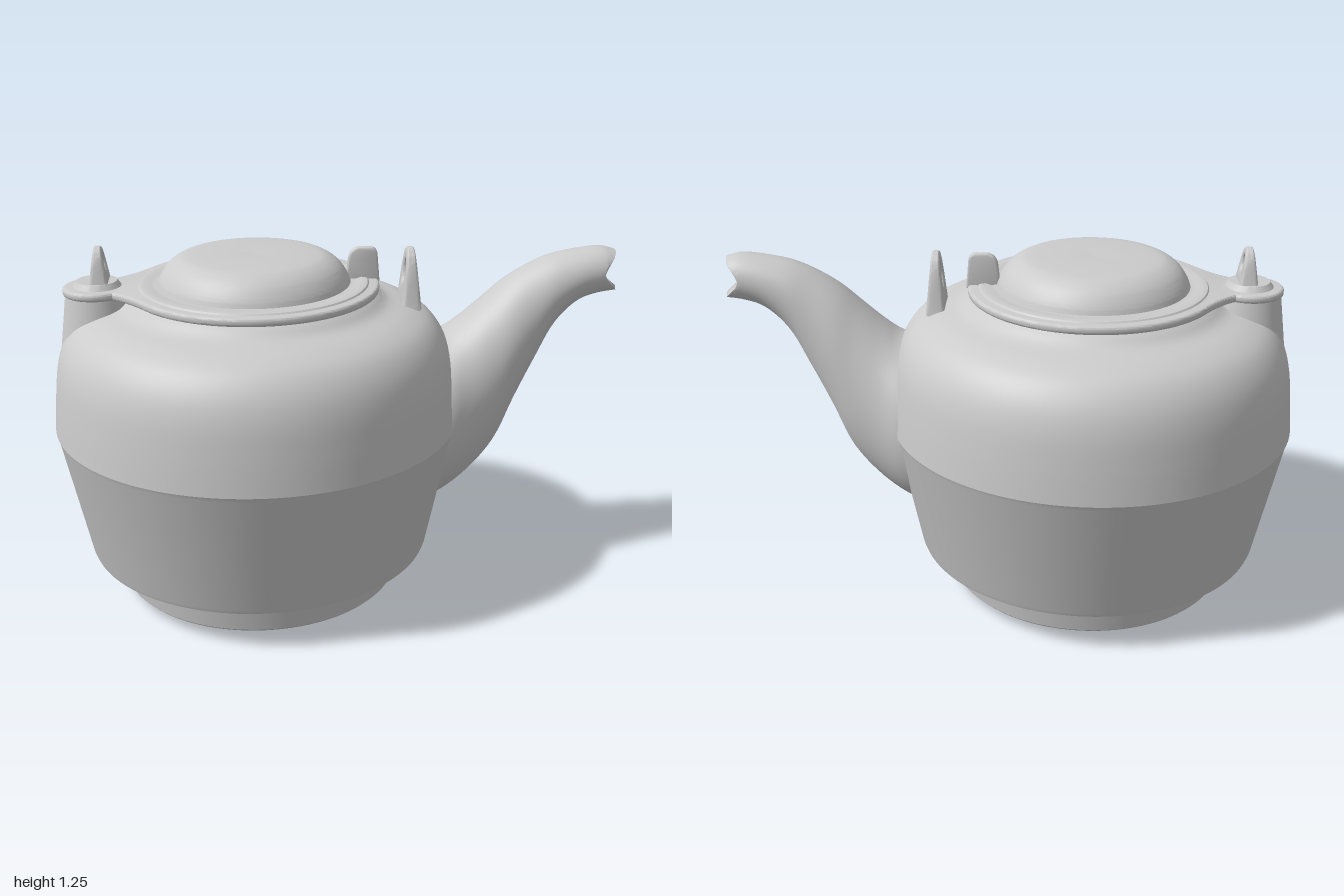
import * as THREE from 'three';
import { toCreasedNormals } from 'three/addons/utils/BufferGeometryUtils.js';

const AXIS = -0.285; // x of the pot's own axis
const material = new THREE.MeshStandardMaterial({ color: 0xcccccc });

function add(group, name, geometry, crease = 0.6) {
  const mesh = new THREE.Mesh(toCreasedNormals(geometry, crease), material);
  mesh.name = name;
  group.add(mesh);
  return mesh;
}

const points = (list) => list.map(([x, y]) => new THREE.Vector2(x, y));

// Flared spout lofted from [topX, topY, bottomX, bottomY, halfWidth] sections
function spoutGeometry() {
  const sections = [
    [0.24, 0.90, 0.24, 0.26, 0.27], [0.38, 0.92, 0.36, 0.30, 0.25],
    [0.44, 0.96, 0.47, 0.375, 0.21], [0.52, 1.03, 0.57, 0.49, 0.175],
    [0.60, 1.10, 0.64, 0.65, 0.15], [0.68, 1.15, 0.71, 0.80, 0.125],
    [0.76, 1.185, 0.78, 0.94, 0.108], [0.86, 1.205, 0.86, 1.02, 0.095],
    [0.94, 1.212, 0.93, 1.045, 0.087], [0.99, 1.2, 1.0, 1.055, 0.084],
  ];
  const top = new THREE.CatmullRomCurve3(sections.map((s) => new THREE.Vector3(s[0], s[1], s[4])));
  const bottom = new THREE.CatmullRomCurve3(sections.map((s) => new THREE.Vector3(s[2], s[3], 0)));
  const N = 48, position = [], index = [], rings = [];
  for (let i = 0; i <= 45; i++) rings.push([i / 45, 1]);
  for (let i = 45; i >= 30; i -= 3) rings.push([i / 45, 0.78]); // inner wall
  rings.push([30 / 45, 0]); // closes the bore
  for (const [t, scale] of rings) {
    const a = top.getPoint(t), b = bottom.getPoint(t);
    const notch = 0.065 * Math.max(0, (t - 0.85) / 0.15) ** 2; // V cut in the sides of the mouth
    for (let j = 0; j < N; j++) {
      const angle = (j / N) * Math.PI * 2, c = Math.cos(angle), k = (c * scale) / 2;
      position.push(
        (a.x + b.x) / 2 + (a.x - b.x) * k - notch * (1 - Math.abs(c)),
        (a.y + b.y) / 2 + (a.y - b.y) * k,
        a.z * Math.sin(angle) * scale);
    }
  }
  for (let i = 0; i < rings.length - 1; i++) {
    for (let j = 0; j < N; j++) {
      const p = i * N + j, q = i * N + ((j + 1) % N);
      index.push(p, q, p + N, q, q + N, p + N);
    }
  }
  const geometry = new THREE.BufferGeometry();
  geometry.setAttribute('position', new THREE.Float32BufferAttribute(position, 3));
  geometry.setIndex(index);
  return geometry;
}

// Arched handle ear with an eye, thinner towards the top, facing along x
function earGeometry(height, half) {
  const shape = new THREE.Shape();
  shape.moveTo(-half, 0);
  shape.lineTo(half, 0);
  shape.bezierCurveTo(half * 0.75, height * 0.5, half * 0.8, height, 0, height);
  shape.bezierCurveTo(-half * 0.8, height, -half * 0.75, height * 0.5, -half, 0);
  const eye = new THREE.Path();
  eye.absellipse(0, height * 0.6, half * 0.3, height * 0.2, 0, Math.PI * 2, true);
  shape.holes.push(eye);
  const geometry = new THREE.ExtrudeGeometry(shape, {
    depth: 0.03, bevelThickness: 0.01, bevelSize: 0.008, bevelOffset: -0.008, bevelSegments: 3, curveSegments: 16,
  });
  geometry.translate(0, 0, -0.015);
  const pos = geometry.attributes.position;
  for (let i = 0; i < pos.count; i++) {
    pos.setZ(i, pos.getZ(i) * (1.35 - 0.85 * pos.getY(i) / height));
  }
  return geometry.rotateY(Math.PI / 2);
}

// Flat lid flange: a disc joined to a round hinge tab by a flared neck
function flangeGeometry() {
  const R = 0.425, open = 0.55, tabX = -0.54, tabR = 0.108, tabOpen = 1.0;
  const shape = new THREE.Shape();
  shape.absarc(0, 0, R, -Math.PI + open, Math.PI - open, false);
  shape.quadraticCurveTo(-0.43, 0.12, tabX + tabR * Math.cos(tabOpen), tabR * Math.sin(tabOpen));
  shape.absarc(tabX, 0, tabR, tabOpen, Math.PI * 2 - tabOpen, false);
  shape.quadraticCurveTo(-0.43, -0.12, R * Math.cos(-Math.PI + open), R * Math.sin(-Math.PI + open));
  return new THREE.ExtrudeGeometry(shape, {
    depth: 0.012, bevelThickness: 0.008, bevelSize: 0.01, bevelSegments: 3, curveSegments: 64,
  }).rotateX(-Math.PI / 2);
}

export function createModel() {
  const group = new THREE.Group();
  group.name = 'teapot';

  // Body with recessed foot, belt line and rounded shoulder
  const shoulder = new THREE.SplineCurve(points([
    [0.715, 0.62], [0.705, 0.74], [0.69, 0.85], [0.662, 0.93], [0.615, 0.99],
    [0.55, 1.025], [0.47, 1.048], [0.43, 1.075], [0.4, 1.095],
  ])).getPoints(40);
  const profile = [
    ...points([[0, 0], [0.3, 0.004], [0.495, 0.012], [0.503, 0.02], [0.525, 0.142],
      [0.6, 0.146], [0.614, 0.15], [0.62, 0.165], [0.709, 0.605]]),
    ...shoulder, new THREE.Vector2(0, 1.095),
  ];
  add(group, 'body', new THREE.LatheGeometry(profile, 128), 0.25).position.x = AXIS;

  add(group, 'spout', spoutGeometry(), 0.9);

  // Lid flange, then the domed lid with its raised ring
  add(group, 'lidFlange', flangeGeometry()).position.set(AXIS, 1.092, 0);
  const dome = new THREE.SplineCurve(points([
    [0.335, 1.115], [0.325, 1.14], [0.3, 1.175], [0.265, 1.2], [0.22, 1.212], [0.1, 1.217], [0, 1.215],
  ])).getPoints(30);
  const lid = [...points([[0.405, 1.105], [0.395, 1.117], [0.375, 1.12], [0.355, 1.114]]), ...dome];
  add(group, 'lid', new THREE.LatheGeometry(lid, 96), 0.7).position.x = AXIS;

  // Lid lug, a small upright plate
  const lug = new THREE.Shape();
  lug.moveTo(-0.06, 0);
  lug.lineTo(0.06, 0);
  lug.lineTo(0.052, 0.095);
  lug.quadraticCurveTo(0.05, 0.122, 0.025, 0.122);
  lug.lineTo(-0.015, 0.122);
  lug.quadraticCurveTo(-0.05, 0.115, -0.052, 0.07);
  const lugGeometry = new THREE.ExtrudeGeometry(lug, {
    depth: 0.014, bevelThickness: 0.007, bevelSize: 0.007, bevelOffset: -0.007, bevelSegments: 3,
  });
  add(group, 'lidLug', lugGeometry).position.set(0.095, 1.102, -0.022);

  // Hinge support swelling out of the shoulder, and the raised disc on its tab
  add(group, 'hingeSupport', new THREE.CylinderGeometry(0.108, 0.145, 0.26, 48)).position.set(-0.826, 0.965, 0);
  add(group, 'hingeDisc', new THREE.CylinderGeometry(0.07, 0.085, 0.022, 48)).position.set(-0.825, 1.12, 0);

  // Handle ears on the hinge tab and in front of the lid
  add(group, 'hingeEar', earGeometry(0.135, 0.065)).position.set(-0.815, 1.115, 0);
  add(group, 'spoutEar', earGeometry(0.21, 0.085)).position.set(0.26, 1.015, 0);

  return group;
}
